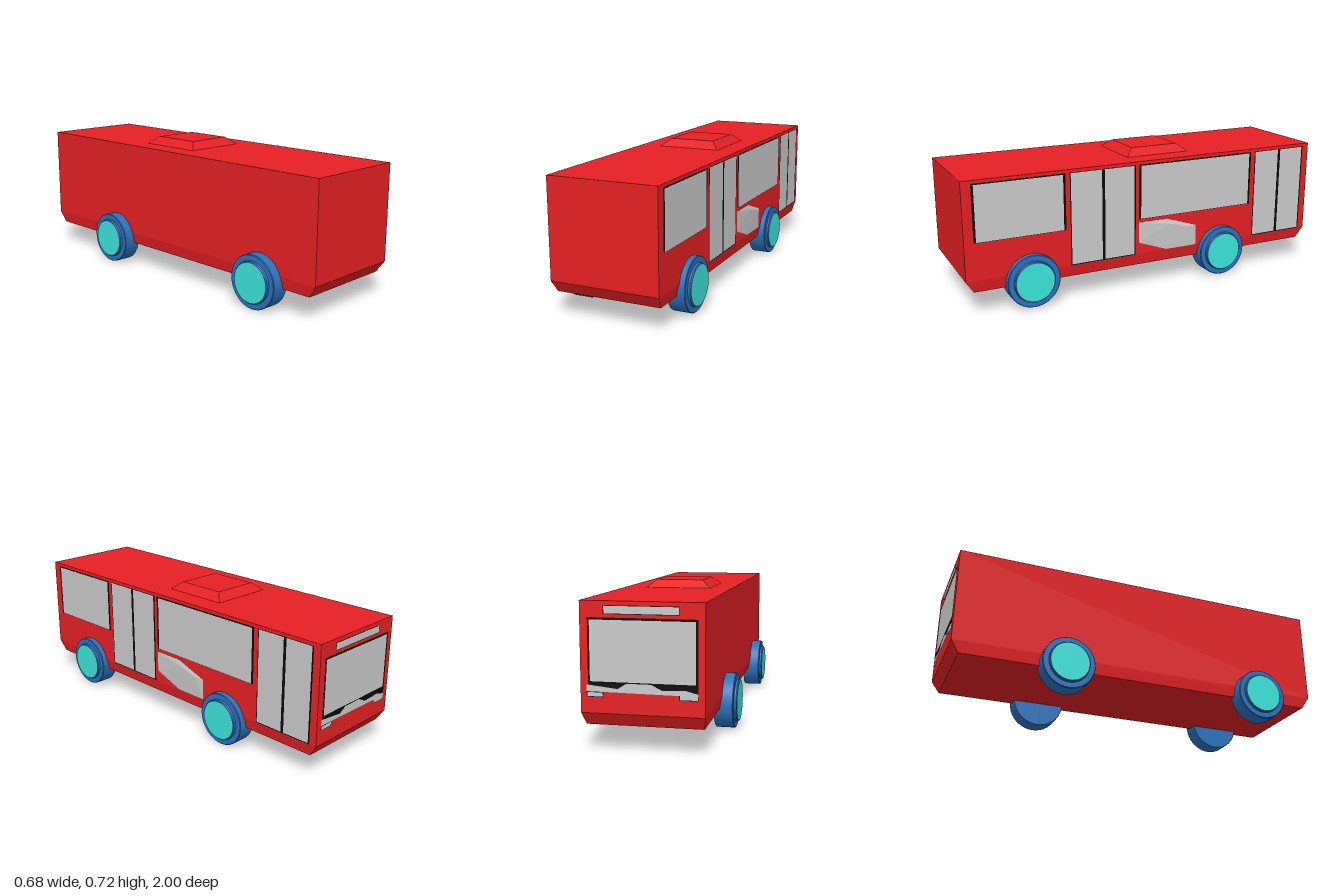
import * as THREE from 'three';
import { ConvexGeometry } from 'three/addons/geometries/ConvexGeometry.js';

const mat = (color, flat = true) => new THREE.MeshStandardMaterial({ color, flatShading: flat });
const red = mat(0xe62024), black = mat(0x080808), grey = mat(0xcccccc);
const blue = mat(0x2c72bd, false), teal = mat(0x3ce6dc);
const V = (x, y, z) => new THREE.Vector3(x, y, z);

function add(parent, name, geometry, material) {
  const mesh = new THREE.Mesh(geometry, material);
  mesh.name = name;
  parent.add(mesh);
  return mesh;
}

// Four corners of a level rectangle
const ring = (x0, x1, z0, z1, y) => [V(x0, y, z0), V(x1, y, z0), V(x1, y, z1), V(x0, y, z1)];
const rect = (a, b, y0, y1) => [[a, y0], [b, y0], [b, y1], [a, y1]];

// Thin panel on the right-hand flank, outline given as [z, y]
function flankPanel(parent, name, points, lift, material) {
  const shape = new THREE.Shape(points.map(([z, y]) => new THREE.Vector2(-z, y)));
  const mesh = add(parent, name, new THREE.ShapeGeometry(shape), material);
  mesh.rotation.y = Math.PI / 2;
  mesh.position.x = 0.29 + lift;
}

// Thin panel on the windscreen end, outline given as [x, y]
function endPanel(parent, name, points, lift, material) {
  const shape = new THREE.Shape(points.map(([x, y]) => new THREE.Vector2(-x, y)));
  const mesh = add(parent, name, new THREE.ShapeGeometry(shape), material);
  mesh.rotation.y = Math.PI;
  mesh.position.z = -1 - lift;
}

// Wheel with its axle along x, outer side towards +x
function wheel(name, x, y, z, side) {
  const g = new THREE.Group();
  g.name = name;
  const profile = [[0, 0], [0.135, 0], [0.137, 0.003], [0.137, 0.092], [0.134, 0.095],
    [0.107, 0.095], [0.105, 0.098], [0.105, 0.105], [0.101, 0.11], [0, 0.11]];
  // Doubled corner points keep the profile edges crisp
  const pts = profile.flatMap(([r, h]) => [new THREE.Vector2(r, h), new THREE.Vector2(r, h)]).slice(1, -1);
  const tyre = add(g, 'tyre', new THREE.LatheGeometry(pts, 40), blue);
  tyre.rotation.z = -Math.PI / 2;
  const disc = add(g, 'hubDisc', new THREE.CircleGeometry(0.1, 40), teal);
  disc.rotation.y = Math.PI / 2;
  disc.position.x = 0.1115;
  g.position.set(x, y, z);
  if (side < 0) g.rotation.y = Math.PI;
  return g;
}

export function createModel() {
  const bus = new THREE.Group();
  bus.name = 'bus';

  // Body with a chamfered skirt
  add(bus, 'body', new ConvexGeometry([
    ...ring(-0.27, 0.29, -1, 1, 0.686), ...ring(-0.27, 0.29, -1, 1, 0.187),
    ...ring(-0.26, 0.278, -0.96, 0.96, 0.126)]), red);

  // Roof unit
  add(bus, 'roofUnit', new ConvexGeometry([
    ...ring(-0.16, 0.178, -0.275, 0.088, 0.685),
    ...ring(-0.112, 0.132, -0.227, 0.04, 0.725)]), red);

  // Side windows and doors: dark frame with glass in front
  const windows = new THREE.Group();
  windows.name = 'sideWindows';
  bus.add(windows);
  for (const [z0, z1] of [[0.952, 0.48], [0.075, -0.612]]) {
    flankPanel(windows, 'windowFrame', rect(z0, z1, 0.378, 0.67), 0.001, black);
    flankPanel(windows, 'windowGlass', rect(z0 - 0.012, z1 + 0.012, 0.38, 0.663), 0.002, grey);
  }
  const doors = new THREE.Group();
  doors.name = 'doors';
  bus.add(doors);
  for (const [z0, z1] of [[0.457, 0.094], [-0.637, -0.962]]) {
    const mid = (z0 + z1) / 2;
    flankPanel(doors, 'doorFrame', rect(z0, z1, 0.187, 0.67), 0.001, black);
    flankPanel(doors, 'doorLeaf', rect(z0 - 0.005, mid + 0.008, 0.192, 0.667), 0.002, grey);
    flankPanel(doors, 'doorLeaf', rect(mid - 0.008, z1 + 0.008, 0.192, 0.667), 0.002, grey);
  }

  // Slightly bulged plate below the long window
  const outline = [[0.075, 0.36], [-0.09, 0.36], [-0.27, 0.3], [-0.27, 0.19], [-0.09, 0.19], [0.075, 0.25]];
  add(bus, 'sidePlate', new ConvexGeometry([
    ...outline.flatMap(([z, y]) => [V(0.288, y, z), V(0.291, y, z)]),
    V(0.298, 0.33, -0.11), V(0.297, 0.3, -0.22)]), grey);

  // Windscreen end
  const end = new THREE.Group();
  end.name = 'windscreenEnd';
  bus.add(end);
  endPanel(end, 'signFrame', rect(0.182, -0.158, 0.628, 0.667), 0.001, black);
  endPanel(end, 'signPanel', rect(0.179, -0.155, 0.631, 0.664), 0.002, grey);
  endPanel(end, 'windscreenFrame', rect(0.255, -0.24, 0.29, 0.613), 0.001, black);
  endPanel(end, 'windscreenGlass', rect(0.246, -0.229, 0.33, 0.603), 0.002, grey);
  endPanel(end, 'lowerTrim', [[0.262, 0.285], [0.262, 0.315], [0.12, 0.3], [0.08, 0.325], [-0.03, 0.325],
    [-0.08, 0.3], [-0.18, 0.305], [-0.24, 0.29], [-0.24, 0.28]], 0.002, grey);
  for (const [a, b] of [[0.262, 0.185], [-0.155, -0.24]]) {
    endPanel(end, 'headlightFrame', rect(a, b, 0.26, 0.284), 0.001, black);
    endPanel(end, 'headlight', rect(a - 0.003, b + 0.003, 0.263, 0.281), 0.002, grey);
  }

  // Wheels
  for (const [name, z, y] of [['frontWheel', 0.665, 0.147], ['rearWheel', -0.425, 0.139]]) {
    bus.add(wheel(name + 'Left', 0.226, y, z, 1));
    bus.add(wheel(name + 'Right', -0.229, 0.141, z, -1));
  }
  return bus;
}
